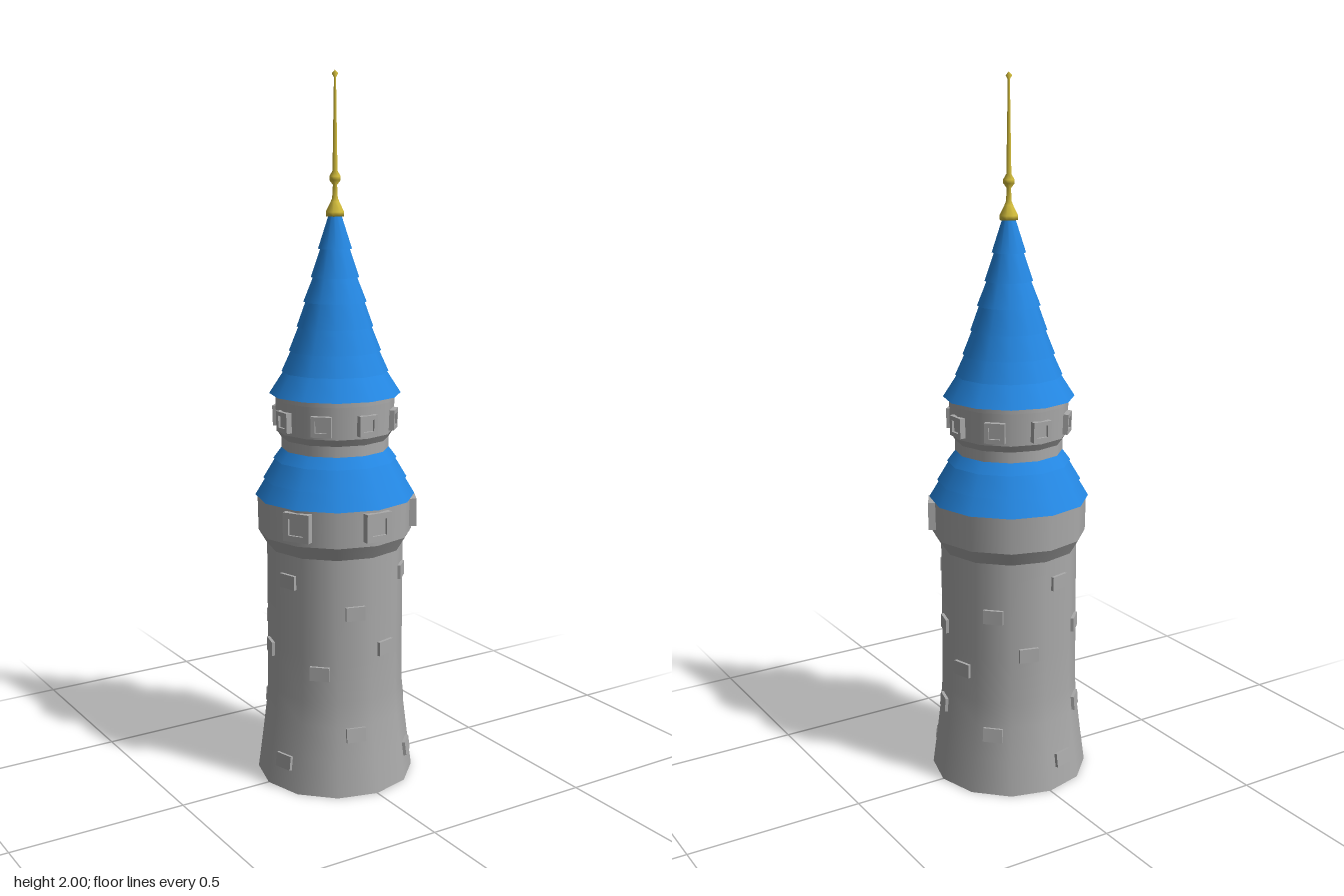
import * as THREE from 'three';

const SIDES = 12;
const rad = THREE.MathUtils.degToRad;

function material(name, color, side = THREE.FrontSide) {
  const m = new THREE.MeshStandardMaterial({ color, side });
  m.name = name;
  return m;
}

export function createModel() {
  const stone = material('grey stone', 0xaaaaaa, THREE.DoubleSide);
  const tile = material('blue roof', 0x2487e2, THREE.DoubleSide);
  const gold = material('gold', 0xd3bd3c);

  const tower = new THREE.Group();
  tower.name = 'tower';

  function add(name, geometry, mat, parent = tower) {
    const mesh = new THREE.Mesh(geometry, mat);
    mesh.name = name;
    parent.add(mesh);
    return mesh;
  }

  // Open ring of wall or roof between two radius/height pairs
  function ring(name, [r0, y0], [r1, y1], mat, parent) {
    const pts = [new THREE.Vector2(r0, y0), new THREE.Vector2(r1, y1)];
    return add(name, new THREE.LatheGeometry(pts, SIDES), mat, parent);
  }

  function rings(name, profile, mat) {
    const group = new THREE.Group();
    group.name = name;
    for (let i = 0; i < profile.length - 1; i++) ring(name + 'Ring', profile[i], profile[i + 1], mat, group);
    tower.add(group);
  }

  // Shaft with flared foot; open underneath
  const foot = [[0.226, 0], [0.213, 0.1], [0.201, 0.2], [0.196, 0.27], [0.195, 0.4], [0.195, 0.69]];
  add('shaft', new THREE.LatheGeometry(foot.map(p => new THREE.Vector2(...p)), SIDES), stone);
  rings('lowerGallery', [[0.195, 0.685], [0.219, 0.725], [0.221, 0.832]], stone);
  rings('upperGallery', [[0.152, 0.95], [0.152, 0.995], [0.165, 1.015], [0.168, 1.105], [0.168, 1.125]], stone);

  // Roofs of overlapping tiers: [bottom radius, bottom y, top radius, top y]
  function roof(name, tiers) {
    const group = new THREE.Group();
    group.name = name;
    for (const [r0, y0, r1, y1] of tiers) {
      ring('roofTier', [r0, y0], [r1, y1], tile, group);
      ring('roofTierUnderside', [r0 - 0.03, y0 + 0.003], [r0, y0], tile, group);
    }
    tower.add(group);
  }
  roof('lowerRoof', [
    [0.227, 0.828, 0.193, 0.885],
    [0.204, 0.877, 0.165, 0.942],
    [0.175, 0.934, 0.148, 0.97],
  ]);
  roof('spireRoof', [
    [0.185, 1.12, 0.14, 1.19],
    [0.15, 1.182, 0.12, 1.248],
    [0.129, 1.24, 0.099, 1.315],
    [0.107, 1.307, 0.079, 1.385],
    [0.088, 1.376, 0.058, 1.452],
    [0.067, 1.444, 0.038, 1.53],
    [0.047, 1.522, 0.014, 1.625],
  ]);

  // Square window: frame with a recessed stone pane
  function windowAt(name, deg, y, dist, size, lean) {
    const h = size / 2, k = size * 0.29;
    const shape = new THREE.Shape([[-h, -h], [h, -h], [h, h], [-h, h]].map(p => new THREE.Vector2(...p)));
    shape.holes.push(new THREE.Path([[-k, -k], [-k, k], [k, k], [k, -k]].map(p => new THREE.Vector2(...p))));
    const pivot = new THREE.Group();
    pivot.name = name;
    pivot.rotation.order = 'YXZ';
    pivot.rotation.set(lean, rad(deg), 0);
    pivot.position.set(Math.sin(rad(deg)) * dist, y, Math.cos(rad(deg)) * dist);
    const frame = add('windowFrame', new THREE.ExtrudeGeometry(shape, { depth: 0.03, bevelEnabled: false }), stone, pivot);
    frame.position.z = -0.03;
    const pane = add('windowPane', new THREE.BoxGeometry(k * 2, k * 2, 0.009), stone, pivot);
    pane.position.z = -0.0115;
    tower.add(pivot);
  }
  for (const deg of [-60, 0, 60]) windowAt('galleryWindow', deg, 0.78, 0.23, 0.08, 0);
  for (let i = 0; i < 8; i++) windowAt('upperWindow', i * 45, 1.052, 0.175, 0.057, 0.03);

  // Raised bricks on the facets of the shaft: [angle, height]
  const bricks = [
    [45, 0.615], [-75, 0.61], [195, 0.615],
    [-15, 0.53], [135, 0.53],
    [75, 0.46], [225, 0.46],
    [15, 0.415], [165, 0.415], [-105, 0.39],
    [-45, 0.355], [105, 0.355],
    [75, 0.215], [225, 0.215],
    [-15, 0.175], [135, 0.175],
    [45, 0.08], [-75, 0.08], [195, 0.08],
  ];
  const brickGeometry = new THREE.BoxGeometry(0.056, 0.04, 0.03);
  for (const [deg, y] of bricks) {
    const i = foot.findIndex(p => p[1] > y);
    const [[r0, y0], [r1, y1]] = [foot[i - 1], foot[i]];
    const dist = (r0 + (r1 - r0) * (y - y0) / (y1 - y0)) * Math.cos(Math.PI / SIDES) - 0.006;
    const brick = add('brick', brickGeometry, stone);
    brick.position.set(Math.sin(rad(deg)) * dist, y, Math.cos(rad(deg)) * dist);
    brick.rotation.order = 'YXZ';
    brick.rotation.set(Math.atan2(r1 - r0, y1 - y0), rad(deg), 0);
  }

  // Gold finial
  const finial = [
    [0, 1.608], [0.026, 1.61], [0.026, 1.622], [0.012, 1.65], [0.008, 1.66], [0.006, 1.695],
    [0.016, 1.708], [0.016, 1.718], [0.007, 1.733], [0.003, 1.98],
    [0.009, 1.99], [0, 2],
  ];
  add('finial', new THREE.LatheGeometry(finial.map(p => new THREE.Vector2(...p)), 8), gold);

  return tower;
}
